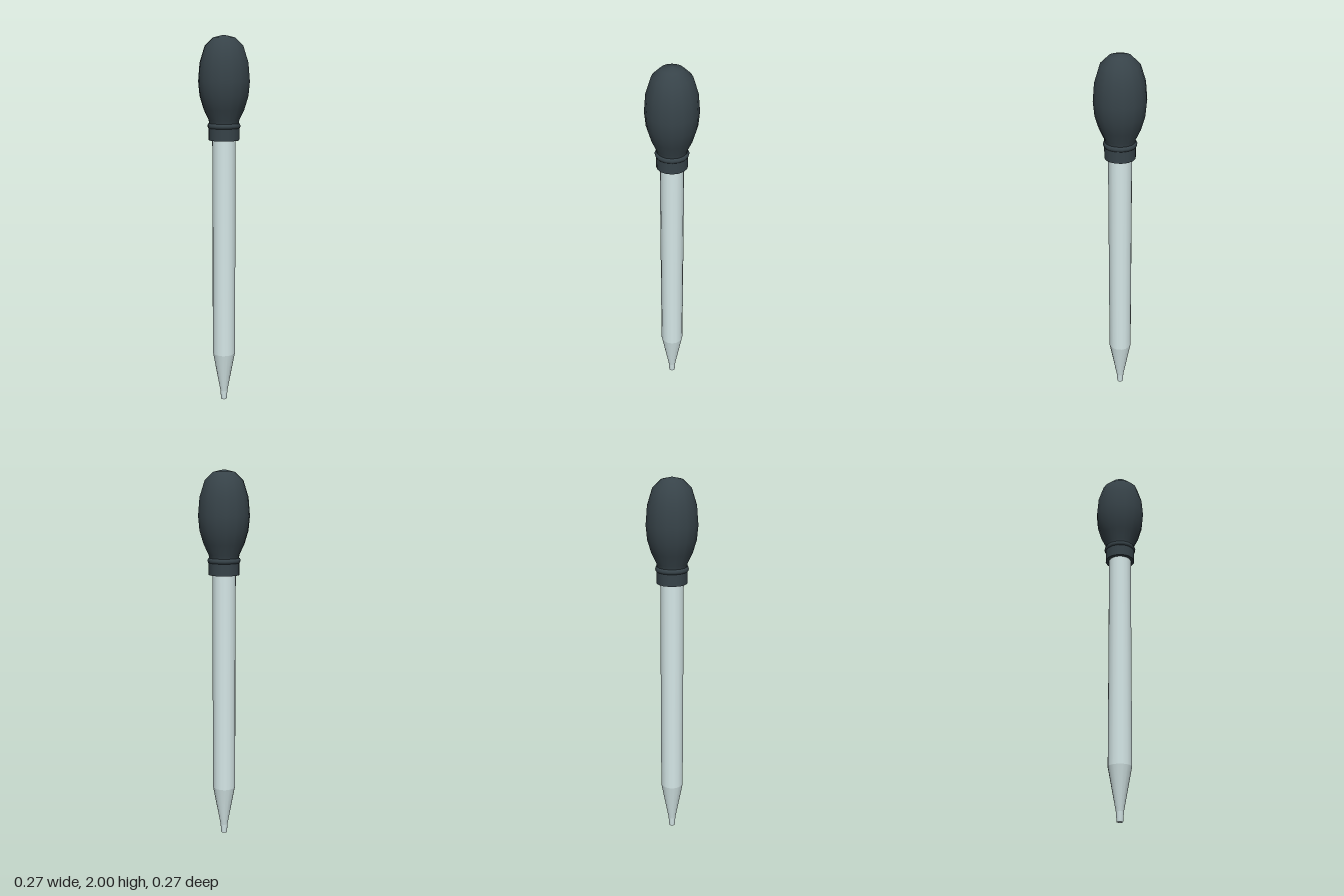
import * as THREE from 'three';

const SIDES = 16;
const rubber = new THREE.MeshStandardMaterial({ color: 0x374349 });
const glass = new THREE.MeshStandardMaterial({ color: 0xd6e8e8 });

// Turned part from [radius, height] pairs, listed bottom to top on the outside
function turned(name, profile, material) {
  const points = profile.map(([r, y]) => new THREE.Vector2(r, y));
  const mesh = new THREE.Mesh(new THREE.LatheGeometry(points, SIDES), material);
  mesh.name = name;
  return mesh;
}

export function createModel() {
  const group = new THREE.Group();
  group.name = 'dropper';

  // Squeeze bulb, narrowing to a neck
  group.add(turned('bulb', [
    [0.076, 1.53], [0.081, 1.565], [0.107, 1.62], [0.128, 1.69], [0.135, 1.765],
    [0.127, 1.86], [0.1, 1.945], [0.056, 1.987], [0, 2],
  ], rubber));

  // Rounded bead where the bulb meets the collar
  const bead = new THREE.Mesh(new THREE.TorusGeometry(0.072, 0.016, 8, SIDES), rubber);
  bead.name = 'neckBead';
  bead.rotation.x = Math.PI / 2;
  bead.position.y = 1.535;
  group.add(bead);

  // Collar gripping the tube
  const collar = new THREE.Mesh(new THREE.CylinderGeometry(0.081, 0.081, 0.067, SIDES), rubber);
  collar.name = 'collar';
  collar.position.y = 1.4935;
  group.add(collar);

  // Straight glass tube, tapered end and nozzle
  group.add(turned('tube', [[0.062, 0.275], [0.062, 1.47]], glass));
  group.add(turned('taper', [[0.02, 0.05], [0.062, 0.275]], glass));
  group.add(turned('nozzle', [[0.016, 0], [0.018, 0.02], [0.02, 0.05]], glass));

  // Rim and blind bore at the opening
  group.add(turned('rim', [[0.009, 0], [0.016, 0]], glass));
  group.add(turned('bore', [[0, 0.05], [0.009, 0.05], [0.009, 0]], glass));

  return group;
}
